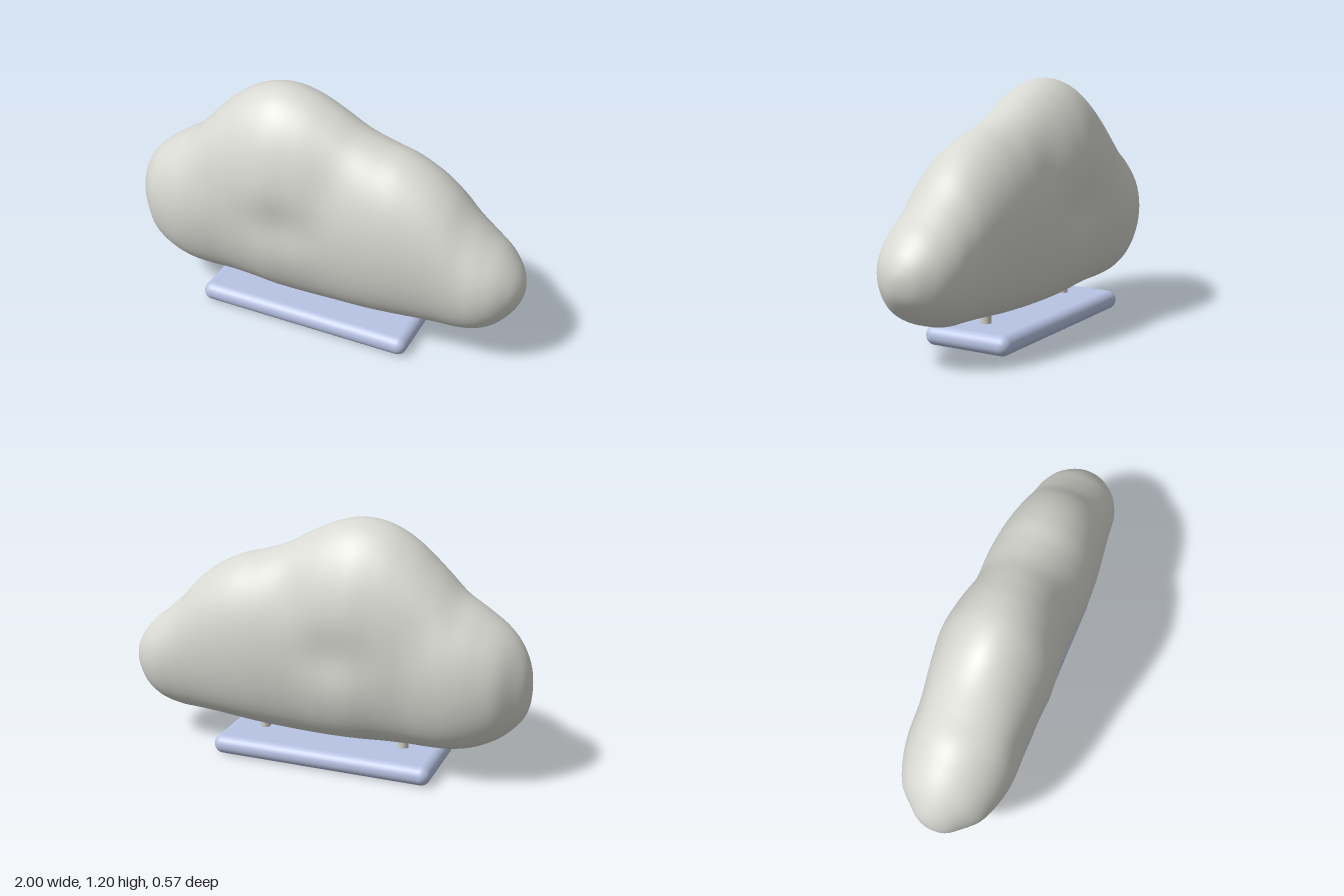
import * as THREE from 'three';
import { mergeVertices } from 'three/addons/utils/BufferGeometryUtils.js';
import { RoundedBoxGeometry } from 'three/addons/geometries/RoundedBoxGeometry.js';

// Cross-sections along the cloud: x, top, bottom, half depth
const STATIONS = [
  [-0.985, 0.585, 0.36, 0.07], [-0.94, 0.68, 0.29, 0.13], [-0.87, 0.755, 0.23, 0.2],
  [-0.77, 0.825, 0.18, 0.242], [-0.67, 0.89, 0.155, 0.264], [-0.57, 0.99, 0.146, 0.27],
  [-0.45, 1.1, 0.144, 0.269], [-0.33, 1.17, 0.14, 0.281], [-0.2, 1.195, 0.133, 0.294],
  [-0.07, 1.172, 0.128, 0.282], [0.06, 1.115, 0.128, 0.268], [0.18, 1.05, 0.133, 0.266],
  [0.3, 1.005, 0.14, 0.266], [0.42, 0.972, 0.15, 0.259], [0.54, 0.915, 0.16, 0.244],
  [0.64, 0.84, 0.166, 0.229], [0.73, 0.745, 0.172, 0.217], [0.82, 0.665, 0.195, 0.205],
  [0.9, 0.6, 0.24, 0.17], [0.96, 0.53, 0.305, 0.112], [0.99, 0.47, 0.36, 0.055],
];

// Soft hollows between the puffs: x, y, radius x, radius y, depth
const HOLLOWS = [
  [-0.13, 0.59, 0.18, 0.13, 0.03],
  [0.12, 0.88, 0.1, 0.2, 0.014],
  [-0.56, 0.75, 0.1, 0.16, 0.012],
];

function cloudGeometry() {
  // Closed outline: left tip, over the top, right tip, back underneath; z carries the half depth
  const outline = new THREE.CatmullRomCurve3([
    new THREE.Vector3(-1, 0.47, 0),
    ...STATIONS.map(([x, top, , d]) => new THREE.Vector3(x, top, d)),
    new THREE.Vector3(1, 0.42, 0),
    ...STATIONS.map(([x, , bottom, d]) => new THREE.Vector3(x, bottom, -d)).reverse(),
  ], true, 'catmullrom', 0.5);

  const rings = 132, sides = 72, positions = [], index = [];
  for (let i = 0; i <= rings; i++) {
    const u = i / rings / 2;
    const top = outline.getPoint(u), bottom = outline.getPoint(1 - u);
    const mid = (top.y + bottom.y) / 2, half = (top.y - bottom.y) / 2;
    for (let j = 0; j < sides; j++) {
      const a = (j / sides) * Math.PI * 2, c = Math.cos(a), s = Math.sin(a);
      const y = mid + half * s;
      // Fuller towards the underside
      let z = Math.max(0, top.z) * Math.pow(Math.abs(c), 0.86 + 0.14 * s);
      for (const [hx, hy, rx, ry, depth] of HOLLOWS) {
        z -= depth * Math.abs(c) * Math.exp(-(((top.x - hx) / rx) ** 2) - ((y - hy) / ry) ** 2);
      }
      positions.push(top.x, y, Math.sign(c) * Math.max(0, z));
      if (i < rings) {
        const k = (j + 1) % sides, p = i * sides, q = p + sides;
        index.push(p + j, q + j, q + k, p + j, q + k, p + k);
      }
    }
  }
  let geometry = new THREE.BufferGeometry();
  geometry.setAttribute('position', new THREE.Float32BufferAttribute(positions, 3));
  geometry.setIndex(index);
  geometry = mergeVertices(geometry, 1e-5);
  geometry.computeVertexNormals();
  return geometry;
}

export function createModel() {
  const model = new THREE.Group();
  model.name = 'cloudOnStand';
  const material = (name, color) => {
    const m = new THREE.MeshStandardMaterial({ color });
    m.name = name;
    return m;
  };
  const cloudGrey = material('cloudGrey', 0xd8d8d2);
  const postGrey = material('postGrey', 0xd0ccc2);
  const paleBlue = material('paleBlue', 0xb8c4e4);

  const add = (name, geometry, mat, x = 0, y = 0, z = 0) => {
    const mesh = new THREE.Mesh(geometry, mat);
    mesh.name = name;
    mesh.position.set(x, y, z);
    model.add(mesh);
  };

  add('cloud', cloudGeometry(), cloudGrey);

  // Stand: rounded plate and two short posts
  add('basePlate', new RoundedBoxGeometry(1.1, 0.094, 0.45, 6, 0.046), paleBlue, -0.04, 0.047, 0);
  const post = new THREE.CylinderGeometry(0.025, 0.025, 0.14, 24);
  add('rightPost', post, postGrey, -0.4, 0.15, 0);
  add('leftPost', post, postGrey, 0.32, 0.15, 0);

  return model;
}
